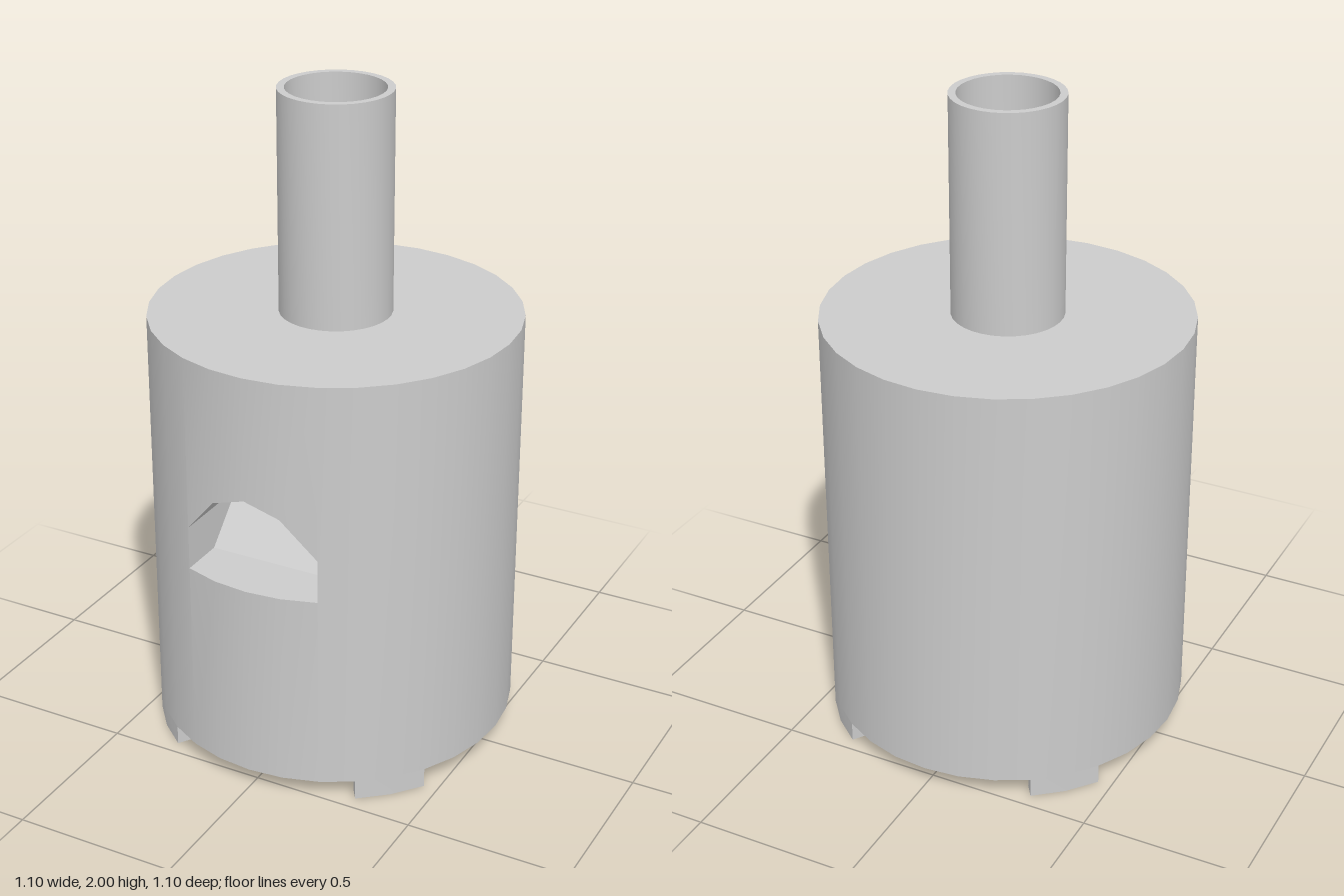
import * as THREE from 'three';
import { toCreasedNormals } from 'three/addons/utils/BufferGeometryUtils.js';

const SIDES = 32, STEP = (Math.PI * 2) / SIDES;
const R = 0.55, BASE = 0.06, TOP = 1.333;          // body
const SHAFT = 0.167, BORE = 0.145;                 // tube
const SILL = 0.667, RIDGE = 1.017, RIDGE_Z = 0.02; // window and inner ramp
const RAMP_Z = RIDGE_Z + RIDGE - SILL;
const HEADS = [0.8, 0.92, 0.957, 0.92, 0.8];       // window head at each facet edge

const rim = (k, y) => [R * Math.sin(k * STEP), y, R * Math.cos(k * STEP)];

function quadGeometry(quads) {
  const pos = [];
  for (const [a, b, c, d] of quads) pos.push(...a, ...b, ...c, ...a, ...c, ...d);
  const g = new THREE.BufferGeometry();
  g.setAttribute('position', new THREE.Float32BufferAttribute(pos, 3));
  return toCreasedNormals(g, 0.45);
}

export function createModel() {
  const group = new THREE.Group();
  const mat = new THREE.MeshStandardMaterial({ color: 0xcccccc });
  const add = (name, geometry) => {
    const mesh = new THREE.Mesh(geometry, mat);
    mesh.name = name;
    group.add(mesh);
    return mesh;
  };

  // Faceted body wall, split above and below the window
  const wall = [];
  const panel = (k, l0, l1, h1, h0) => wall.push([rim(k, l0), rim(k + 1, l1), rim(k + 1, h1), rim(k, h0)]);
  for (let k = -2; k < SIDES - 2; k++) {
    if (k < 2) {
      panel(k, BASE, BASE, SILL, SILL);
      panel(k, HEADS[k + 2], HEADS[k + 3], TOP, TOP);
    } else panel(k, BASE, BASE, TOP, TOP);
  }
  add('bodyWall', quadGeometry(wall));
  add('bodyTop', new THREE.RingGeometry(BORE, R, SIDES).rotateX(-Math.PI / 2).translate(0, TOP, 0));
  add('bodyBottom', new THREE.CircleGeometry(R, SIDES).rotateX(Math.PI / 2).translate(0, BASE, 0));

  // Window tunnel: jambs, head and sill running back to the ramp
  const outline = [
    ...[-2, -1, 0, 1, 2].map((k) => rim(k, HEADS[k + 2])),
    ...[2, 1, 0, -1, -2].map((k) => rim(k, SILL)),
  ];
  const back = ([x, y]) => {
    const bore = Math.abs(x) < BORE ? Math.sqrt(BORE * BORE - x * x) : 0;
    return [x, y, Math.max(RAMP_Z - (y - SILL), bore)];
  };
  add('windowTunnel', quadGeometry(outline.map((p, i) => {
    const q = outline[(i + 1) % outline.length];
    return [p, back(p), back(q), q];
  })));

  // Ridge under the tube, sloping down to the window and to the rear
  const w = R * Math.sin(2 * STEP), rz = RIDGE_Z - 0.18;
  add('innerRamp', quadGeometry([
    [[-w, SILL, RAMP_Z], [w, SILL, RAMP_Z], [w, RIDGE, RIDGE_Z], [-w, RIDGE, RIDGE_Z]],
    [[-w, RIDGE, RIDGE_Z], [w, RIDGE, RIDGE_Z], [w, RIDGE - 0.18, rz], [-w, RIDGE - 0.18, rz]],
  ]));

  // Hollow tube whose bore ends on the ridge
  const tube = new THREE.LatheGeometry(
    [[SHAFT, TOP], [SHAFT, 2], [BORE, 2], [BORE, 0.9]].map(([r, y]) => new THREE.Vector2(r, y)), SIDES);
  const p = tube.attributes.position;
  for (let i = 0; i < p.count; i++) {
    if (p.getY(i) > 1) continue;
    const z = p.getZ(i);
    p.setY(i, z > 0.08 ? HEADS[2] : RIDGE - Math.abs(z - RIDGE_Z));
  }
  add('tube', toCreasedNormals(tube, 0.6));

  // Four curved feet on the diagonals, each two facets wide
  const arc = (r, k) => new THREE.Vector2(r * Math.cos(k * STEP), r * Math.sin(k * STEP));
  const footShape = new THREE.Shape([
    ...[3, 4, 5].map((k) => arc(R, k)), ...[5, 4, 3].map((k) => arc(0.5, k)),
  ]);
  const foot = toCreasedNormals(
    new THREE.ExtrudeGeometry(footShape, { depth: BASE, bevelEnabled: false }).rotateX(-Math.PI / 2), 0.45);
  for (let i = 0; i < 4; i++) add('foot', foot).rotation.y = (i * Math.PI) / 2;

  return group;
}
